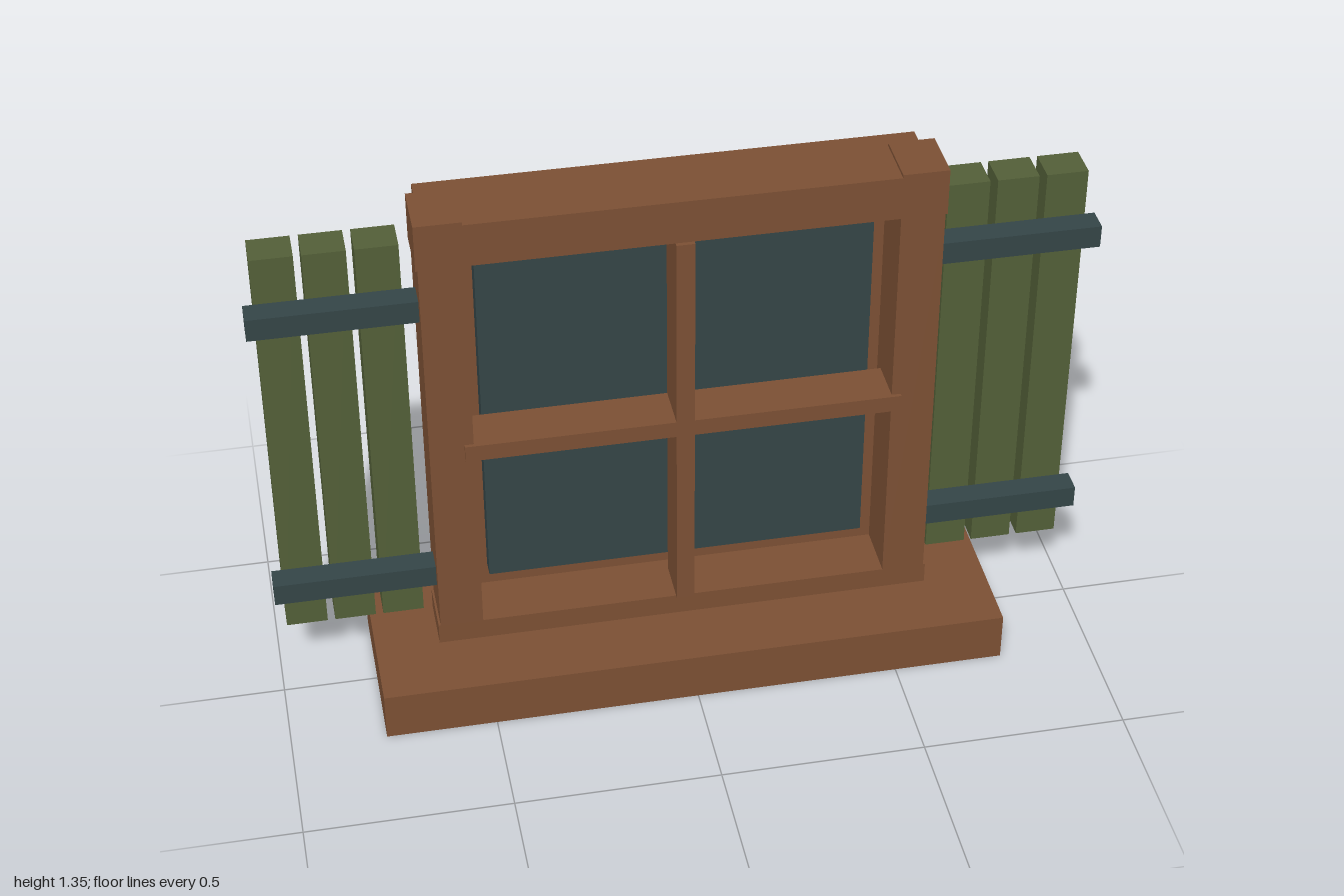
import * as THREE from 'three';

const mat = (name, color) => {
  const m = new THREE.MeshStandardMaterial({ color });
  m.name = name;
  return m;
};

export function createModel() {
  const wood = mat('brown wood', 0x7c5034);
  const green = mat('green paint', 0x535f38);
  const slate = mat('dark slate', 0x344547);
  const model = new THREE.Group();
  model.name = 'shutteredWindow';

  // Box given by its limits on each axis
  const box = (name, material, [x0, x1], [y0, y1], [z0, z1], parent = model) => {
    const mesh = new THREE.Mesh(new THREE.BoxGeometry(x1 - x0, y1 - y0, z1 - z0), material);
    mesh.position.set((x0 + x1) / 2, (y0 + y1) / 2, (z0 + z1) / 2);
    mesh.name = name;
    parent.add(mesh);
  };

  // Sill and back board
  box('sill', wood, [-0.77, 0.77], [0, 0.125], [-0.215, 0.215]);
  box('backBoard', wood, [-0.59, 0.59], [0.125, 1.31], [-0.192, -0.115]);

  // Frame rails
  const depth = [-0.1, 0.04];
  box('topRail', wood, [-0.503, 0.503], [1.227, 1.337], depth);
  box('bottomRail', wood, [-0.503, 0.503], [0.125, 0.18], depth);

  // Glass and crossing bars
  box('glass', slate, [-0.47, 0.47], [0.23, 1.2], [-0.114, -0.07]);
  box('verticalBar', wood, [-0.022, 0.022], [0.18, 1.227], [-0.07, 0.05]);
  box('horizontalBar', wood, [-0.525, 0.525], [0.682, 0.725], [-0.07, 0.049]);

  for (const side of [-1, 1]) {
    const label = side > 0 ? 'left' : 'right';
    const span = (a, b) => (side > 0 ? [a, b] : [-b, -a]);

    // Jamb with slightly wider end blocks
    const jamb = new THREE.Group();
    jamb.name = label + 'Jamb';
    model.add(jamb);
    box('jambPost', wood, span(0.503, 0.608), [0.18, 1.227], depth, jamb);
    box('jambFoot', wood, span(0.503, 0.613), [0.125, 0.18], depth, jamb);
    box('jambHead', wood, span(0.503, 0.613), [1.227, 1.345], depth, jamb);

    // Shutter slats and straps
    const shutter = new THREE.Group();
    shutter.name = label + 'Shutter';
    model.add(shutter);
    for (let i = 0; i < 3; i++) {
      const x = 0.639 + i * 0.1185;
      box('slat', green, span(x, x + 0.1), [0.165, 1.243], [-0.135, -0.05], shutter);
    }
    for (const y of [0.285, 1.067]) {
      box('strap', slate, span(0.608, 1), [y, y + 0.057], [-0.05, 0.01], shutter);
    }
  }
  return model;
}
